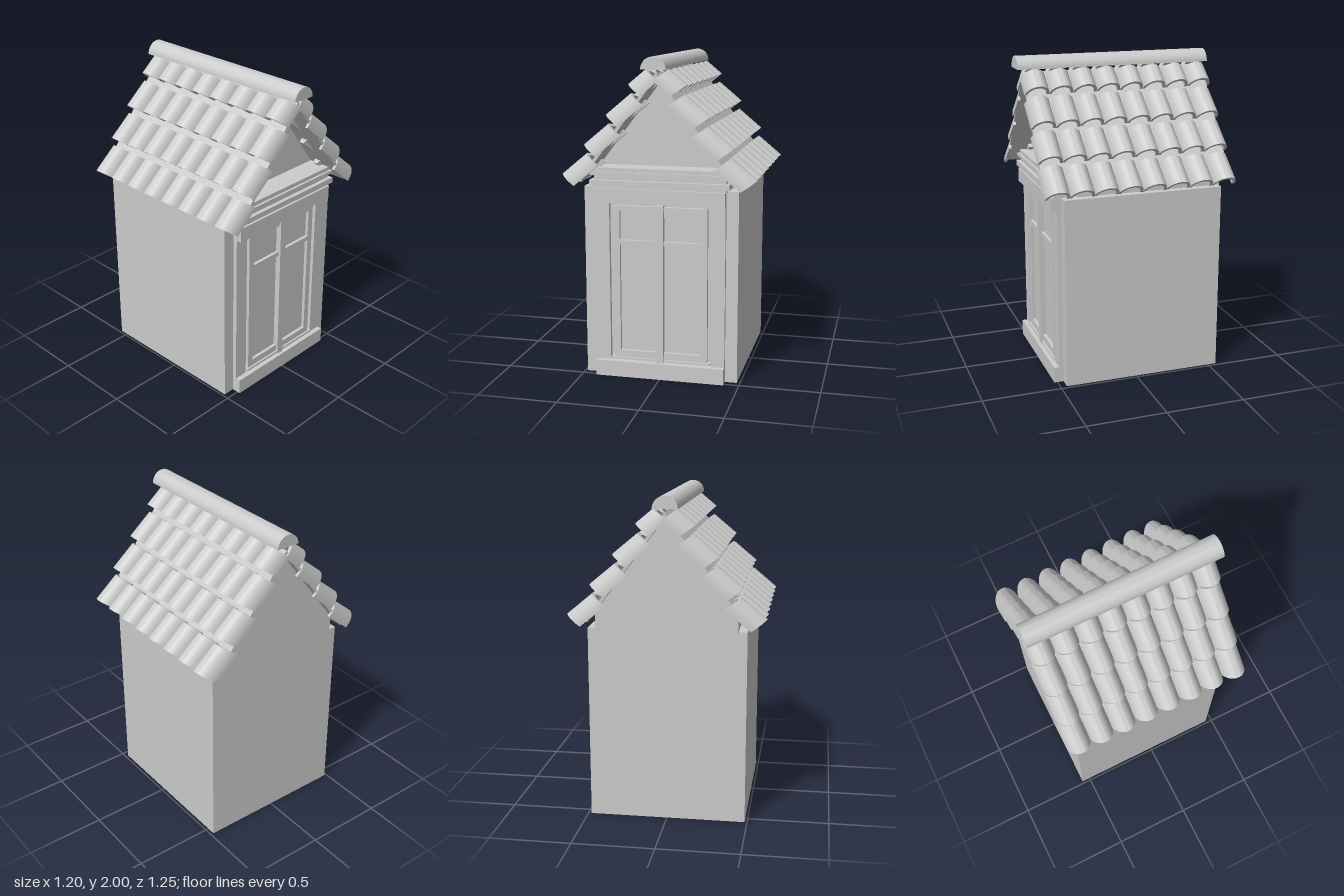
import * as THREE from 'three';
import { toCreasedNormals } from 'three/addons/utils/BufferGeometryUtils.js';

export function createModel() {
  const model = new THREE.Group();
  model.name = 'dormer';
  const mat = new THREE.MeshStandardMaterial({ color: 0xcccccc, side: THREE.DoubleSide });

  const add = (name, geometry, parent = model) => {
    const mesh = new THREE.Mesh(geometry, mat);
    mesh.name = name;
    parent.add(mesh);
    return mesh;
  };
  // Box given by its limits on each axis
  const box = (name, x0, x1, y0, y1, z0, z1, parent) => {
    const g = new THREE.BoxGeometry(x1 - x0, y1 - y0, z1 - z0);
    g.translate((x0 + x1) / 2, (y0 + y1) / 2, (z0 + z1) / 2);
    return add(name, g, parent);
  };
  // Outline in x and y, extruded along z
  const prism = (name, points, z0, z1) => {
    const shape = new THREE.Shape(points.map(([x, y]) => new THREE.Vector2(x, y)));
    const g = new THREE.ExtrudeGeometry(shape, { depth: z1 - z0, bevelEnabled: false });
    return add(name, g.translate(0, 0, z0));
  };
  const group = (name) => {
    const g = new THREE.Group();
    g.name = name;
    model.add(g);
    return g;
  };

  // Walls and the gable set back behind the cornice
  box('body', -0.485, 0.48, 0, 1.2, -0.555, 0.46);
  prism('gable', [[-0.43, 1.19], [0.43, 1.19], [0.43, 1.3], [0, 1.87], [-0.43, 1.3]], -0.565, 0.36);

  // Surround of the window
  const surround = group('windowSurround');
  box('sill', -0.41, 0.405, 0, 0.1, 0.45, 0.52, surround);
  box('lintel', -0.41, 0.405, 1.11, 1.2, 0.45, 0.52, surround);
  box('leftJamb', 0.32, 0.405, 0.1, 1.11, 0.45, 0.487, surround);
  box('rightJamb', -0.41, -0.32, 0.1, 1.11, 0.45, 0.487, surround);

  // Two casements, each with a transom and two panes
  const casements = group('window');
  box('centrePost', -0.027, 0.022, 0.1, 1.1, 0.45, 0.5, casements);
  for (const s of [-1, 1]) {
    const span = (name, a, b, y0, y1, z1) =>
      box(name, Math.min(s * a, s * b), Math.max(s * a, s * b), y0, y1, 0.45, z1, casements);
    span('outerStile', 0.255, 0.295, 0.12, 1.09, 0.485);
    span('topRail', 0.02, 0.255, 1.06, 1.09, 0.485);
    span('bottomRail', 0.02, 0.255, 0.12, 0.165, 0.485);
    span('transom', 0.02, 0.255, 0.845, 0.875, 0.485);
    span('pane', 0.02, 0.255, 0.165, 1.06, 0.464);
    span('dripLedge', 0.025, 0.315, 0.108, 0.122, 0.497);
  }

  // Stepped cornice
  const cornice = group('cornice');
  [[0.412, 1.195, 1.215, 0.505], [0.432, 1.215, 1.25, 0.525], [0.41, 1.25, 1.28, 0.5],
    [0.43, 1.28, 1.3, 0.52], [0.415, 1.3, 1.325, 0.505]].forEach(([x, y0, y1, z]) =>
    box('corniceStep', -x, x, y0, y1, 0.35, z, cornice));

  // Thin roof deck under the tiles
  prism('roofDeck', [[0, 1.87], [0.47, 1.245], [0.485, 1.255], [0, 1.9], [-0.485, 1.255], [-0.47, 1.245]], -0.615, 0.58);

  // Half-round tile of unit size, then sheared into its slope
  const ring = new THREE.Shape();
  ring.absarc(0, 0, 1, 0, Math.PI, false);
  ring.absarc(0, 0, 0.78, Math.PI, 0, true);
  const tile = (side, length) => {
    const g = new THREE.ExtrudeGeometry(ring, { depth: 1, bevelEnabled: false, curveSegments: 12 });
    g.applyMatrix4(new THREE.Matrix4().makeBasis(
      new THREE.Vector3(0, 0, side * 0.0765),
      new THREE.Vector3(side * 0.09, 0.065, 0),
      new THREE.Vector3(-side * 0.77 * length, 0.64 * length, 0)));
    return toCreasedNormals(g, 0.6);
  };
  for (const side of [1, -1]) {
    const tiles = group(side > 0 ? 'leftRoofTiles' : 'rightRoofTiles');
    const full = tile(side, 0.2);
    const short = tile(side, 0.14);
    for (let row = 0; row < 4; row++) {
      for (let i = 0; i < 8; i++) {
        add('roofTile', row < 3 ? full : short, tiles)
          .position.set(side * (0.51 - 0.14 * row), 1.22 + 0.183 * row, 0.513 - 0.152 * i);
      }
    }
  }

  // Half-round ridge cap
  const cap = new THREE.Shape();
  cap.absarc(0, 0, 0.076, 0, Math.PI, false);
  cap.closePath();
  const ridge = new THREE.ExtrudeGeometry(cap, { depth: 1.245, bevelEnabled: false, curveSegments: 12 });
  add('ridgeCap', toCreasedNormals(ridge, 0.6)).position.set(-0.004, 1.924, -0.622);

  return model;
}
